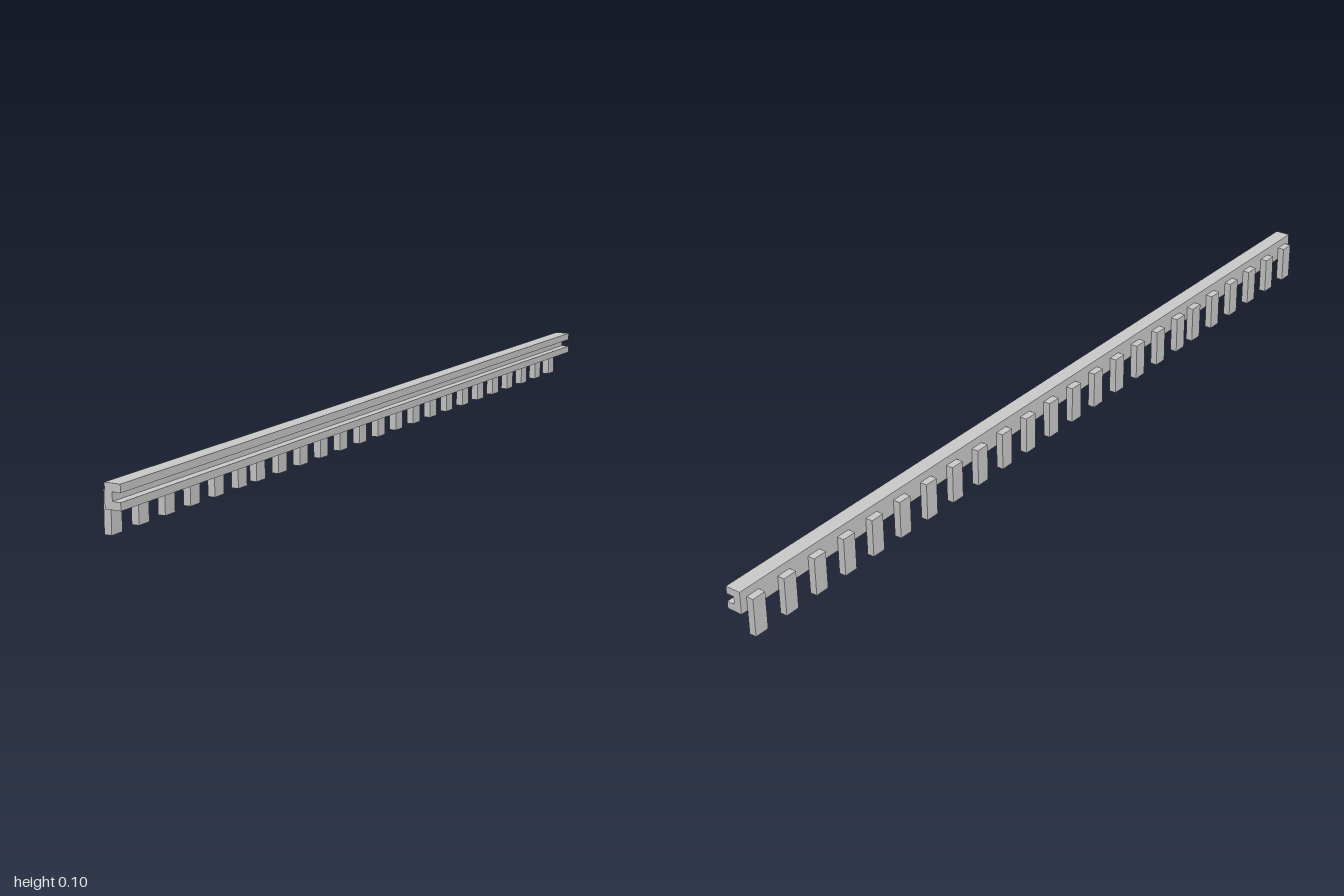
import * as THREE from 'three';

export function createModel() {
  const group = new THREE.Group();
  const material = new THREE.MeshStandardMaterial({ color: 0xcccccc, flatShading: true });

  // C-shaped rail, extruded along z, open towards +x
  const profile = new THREE.Shape([
    [-0.0095, 0.0535], [0.0258, 0.0535], [0.0258, 0.0695], [0.0075, 0.0695],
    [0.0075, 0.087], [0.0258, 0.087], [0.0258, 0.1035], [-0.0095, 0.1035],
  ].map(([x, y]) => new THREE.Vector2(x, y)));
  const railGeometry = new THREE.ExtrudeGeometry(profile, { depth: 2, bevelEnabled: false });
  railGeometry.translate(0, 0, -1);
  const rail = new THREE.Mesh(railGeometry, material);
  rail.name = 'channelRail';
  group.add(rail);

  // Row of hanging teeth; one gap after the sixth tooth is narrower
  const toothGeometry = new THREE.BoxGeometry(0.0163, 0.085, 0.033);
  const pitch = 0.0847;
  for (let i = 0; i < 24; i++) {
    const tooth = new THREE.Mesh(toothGeometry, material);
    const z = i < 6 ? 0.965 - i * pitch : 0.473 - (i - 6) * pitch;
    tooth.position.set(-0.01765, 0.0425, z);
    tooth.name = `tooth${i + 1}`;
    group.add(tooth);
  }
  return group;
}
